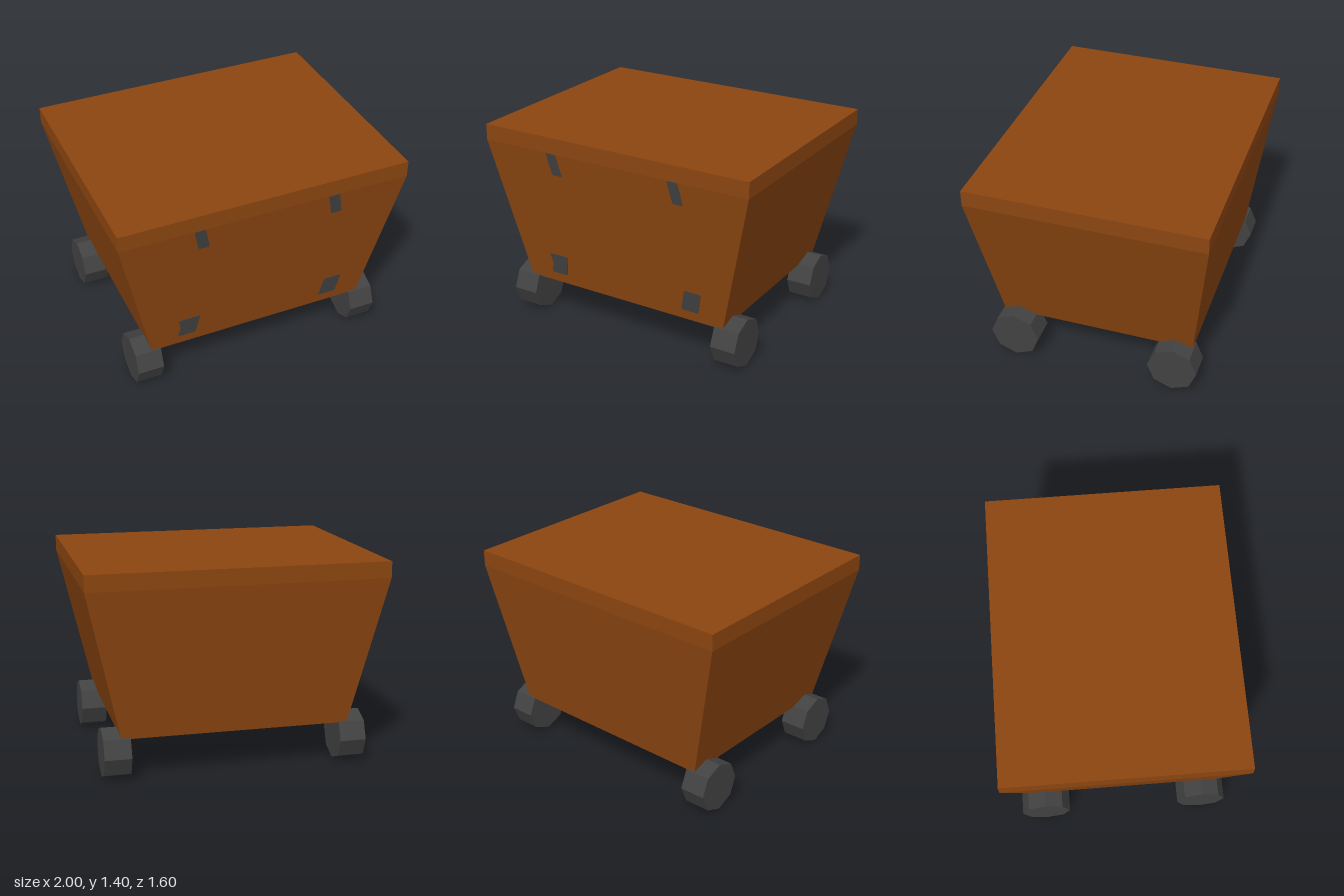
import * as THREE from 'three';

export function createModel() {
  const model = new THREE.Group();
  model.name = 'cart';
  const rust = new THREE.MeshStandardMaterial({ color: 0x8b4510 });
  rust.name = 'rust brown';
  const iron = new THREE.MeshStandardMaterial({ color: 0x424242 });
  iron.name = 'dark iron';

  const add = (name, geometry, material, x = 0, y = 0, z = 0) => {
    const mesh = new THREE.Mesh(geometry, material);
    mesh.name = name;
    mesh.position.set(x, y, z);
    model.add(mesh);
    return mesh;
  };

  // Closed tub with an upright rim: rectangular rings, bottom to top
  const rings = [[0.77, 0.285, 0.67], [1, 1.29, 0.8], [1, 1.4, 0.8]];
  const corner = ([x, y, z], i) => [[x, y, z], [x, y, -z], [-x, y, -z], [-x, y, z]][i % 4];
  const points = [];
  const quad = (a, b, c, d) => points.push(...a, ...b, ...c, ...a, ...c, ...d);
  for (let r = 0; r < 2; r++) {
    for (let i = 0; i < 4; i++) {
      quad(corner(rings[r], i), corner(rings[r], i + 1), corner(rings[r + 1], i + 1), corner(rings[r + 1], i));
    }
  }
  quad(...[0, 1, 2, 3].map((i) => corner(rings[2], i)));
  quad(...[3, 2, 1, 0].map((i) => corner(rings[0], i)));
  const tub = new THREE.BufferGeometry();
  tub.setAttribute('position', new THREE.Float32BufferAttribute(points, 3));
  tub.computeVertexNormals();
  add('tub', tub, rust);

  // Eight-sided wheels
  const wheel = new THREE.CylinderGeometry(0.17, 0.17, 0.18, 8).toNonIndexed();
  wheel.rotateZ(Math.PI / 2);
  wheel.computeVertexNormals();
  for (const x of [-0.8, 0.8]) {
    for (const z of [-0.56, 0.56]) {
      add(`${z > 0 ? 'front' : 'back'}${x > 0 ? 'Left' : 'Right'}Wheel`, wheel, iron, x, 0.17, z);
    }
  }

  // Thin plates with rounded corners, lying on the sloping front
  const plate = (name, corners) => {
    const shape = new THREE.Shape();
    const pts = corners.map(([x, y]) => new THREE.Vector2(x, y));
    pts.forEach((p, i) => {
      const toward = (q) => p.clone().add(q.clone().sub(p).setLength(0.012));
      const a = toward(pts[(i + pts.length - 1) % pts.length]);
      const b = toward(pts[(i + 1) % pts.length]);
      if (i) shape.lineTo(a.x, a.y);
      else shape.moveTo(a.x, a.y);
      shape.quadraticCurveTo(p.x, p.y, b.x, b.y);
    });
    shape.closePath();
    const geometry = new THREE.ExtrudeGeometry(shape, { depth: 0.004, bevelEnabled: false, curveSegments: 3 });
    const pos = geometry.attributes.position;
    for (let i = 0; i < pos.count; i++) {
      pos.setZ(i, pos.getZ(i) + 0.67 + (pos.getY(i) - 0.285) * (0.13 / 1.005));
    }
    geometry.computeVertexNormals();
    add(name, geometry, iron);
  };
  plate('upperRightPlate', [[-0.47, 1.135], [-0.395, 1.135], [-0.43, 1.29], [-0.505, 1.29]]);
  plate('upperLeftPlate', [[0.46, 1.135], [0.535, 1.135], [0.503, 1.29], [0.428, 1.29]]);
  plate('lowerRightPlate', [[-0.585, 0.355], [-0.46, 0.355], [-0.433, 0.505], [-0.585, 0.505], [-0.568, 0.43]]);
  plate('lowerLeftPlate', [[0.465, 0.355], [0.592, 0.355], [0.62, 0.505], [0.495, 0.505]]);

  return model;
}
